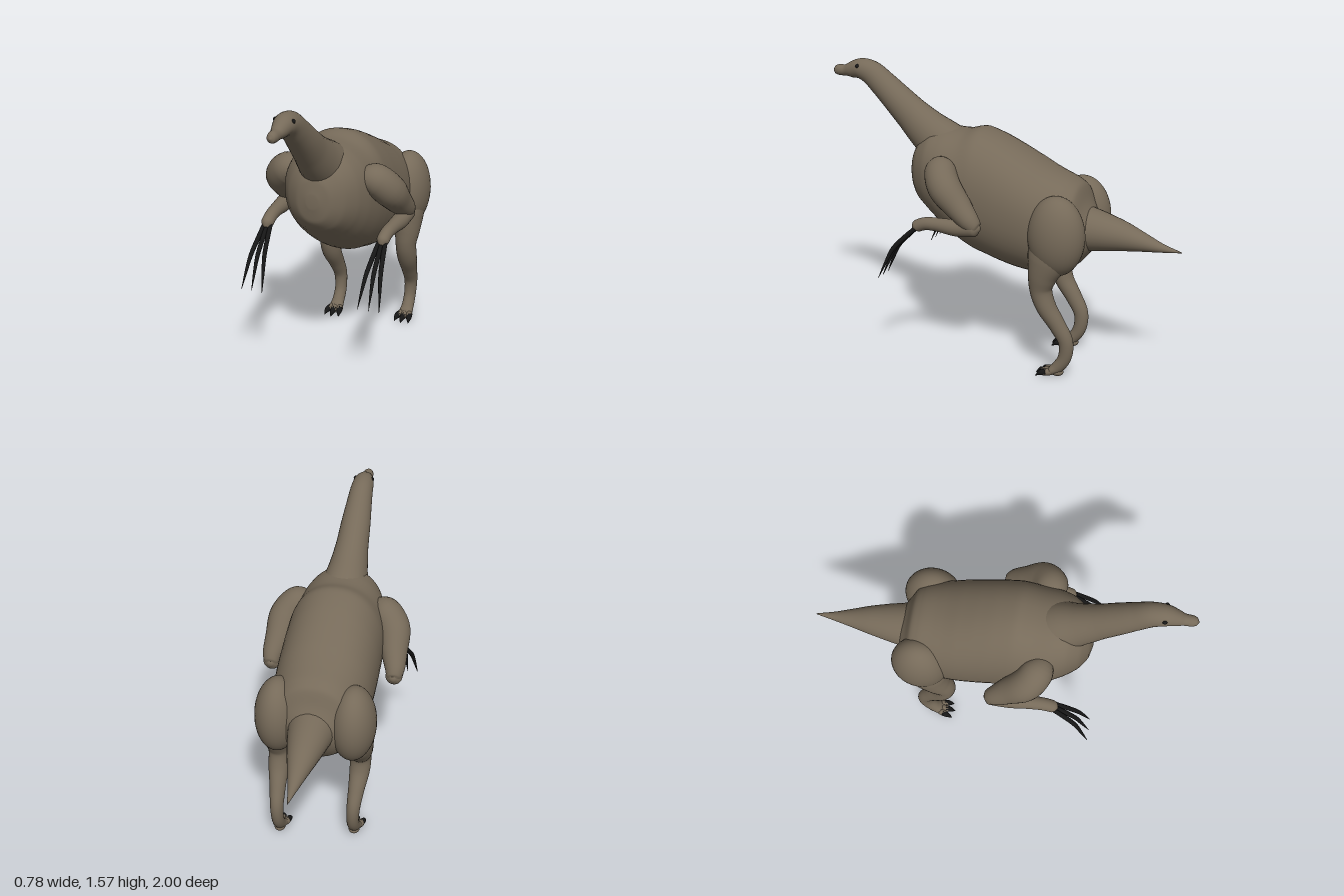
import * as THREE from 'three';

const skin = new THREE.MeshStandardMaterial({ color: 0x766a59 });
skin.name = 'brown skin';
const horn = new THREE.MeshStandardMaterial({ color: 0x161616 });
horn.name = 'black claw';

// Smooth closed loft through sections [x, y, z, sideRadius, otherRadius].
// With "upright", every ring stays in the x-y plane.
function loft(name, sections, material = skin, { upright = false, sides = 28, steps = 6, power = 1 } = {}) {
  const path = new THREE.CatmullRomCurve3(sections.map(s => new THREE.Vector3(s[0], s[1], s[2])));
  const radii = new THREE.CatmullRomCurve3(sections.map(s => new THREE.Vector3(s[3], s[4] ?? s[3], 0)));
  const rings = (sections.length - 1) * steps;
  const pos = [], index = [];
  const shape = v => Math.sign(v) * Math.abs(v) ** power;
  for (let i = 0; i <= rings; i++) {
    const t = i / rings;
    const p = path.getPoint(t), r = radii.getPoint(t);
    const T = upright ? new THREE.Vector3(0, 0, -1) : path.getTangent(t);
    const S = new THREE.Vector3(1, 0, 0).addScaledVector(T, -T.x).normalize();
    const N = T.clone().cross(S);
    for (let j = 0; j < sides; j++) {
      const a = j / sides * Math.PI * 2;
      const q = p.clone()
        .addScaledVector(S, shape(Math.cos(a)) * Math.max(r.x, 0.001))
        .addScaledVector(N, shape(Math.sin(a)) * Math.max(r.y, 0.001));
      pos.push(q.x, q.y, q.z);
      if (i < rings) {
        const k = (j + 1) % sides, b = i * sides, c = b + sides;
        index.push(b + j, b + k, c + k, b + j, c + k, c + j);
      }
    }
  }
  // end caps
  const first = pos.length / 3, lastRing = rings * sides;
  pos.push(...path.getPoint(0).toArray(), ...path.getPoint(1).toArray());
  for (let j = 0; j < sides; j++) {
    const k = (j + 1) % sides;
    index.push(first, k, j, first + 1, lastRing + j, lastRing + k);
  }
  const g = new THREE.BufferGeometry();
  g.setAttribute('position', new THREE.Float32BufferAttribute(pos, 3));
  g.setIndex(index);
  g.computeVertexNormals();
  const mesh = new THREE.Mesh(g, material);
  mesh.name = name;
  return mesh;
}

function ball(name, material, [x, y, z], [rx, ry, rz]) {
  const mesh = new THREE.Mesh(new THREE.SphereGeometry(1, 32, 24), material);
  mesh.name = name;
  mesh.position.set(x, y, z);
  mesh.scale.set(rx, ry, rz);
  return mesh;
}

function createArm(s) {
  const arm = new THREE.Group();
  arm.name = s > 0 ? 'leftArm' : 'rightArm';
  arm.add(loft('upperArm', [
    [s * 0.17, 1.08, 0.27, 0.05], [s * 0.24, 1.07, 0.25, 0.085], [s * 0.295, 1.01, 0.205, 0.088],
    [s * 0.318, 0.92, 0.115, 0.072], [s * 0.335, 0.855, 0.045, 0.054],
    [s * 0.335, 0.82, 0.008, 0.038], [s * 0.335, 0.81, -0.012, 0.008],
  ]));
  arm.add(loft('forearm', [
    [s * 0.335, 0.825, -0.015, 0.012], [s * 0.335, 0.82, 0.02, 0.045], [s * 0.332, 0.808, 0.12, 0.044],
    [s * 0.328, 0.81, 0.23, 0.036], [s * 0.324, 0.805, 0.3, 0.034],
    [s * 0.322, 0.785, 0.35, 0.033], [s * 0.32, 0.765, 0.372, 0.012],
  ]));
  // three long bent finger claws
  for (const [base, tip] of [[0.303, 0.265], [0.32, 0.325], [0.337, 0.382]]) {
    const mid = (base + tip) / 2;
    arm.add(loft('fingerClaw', [
      [s * base, 0.785, 0.345, 0.011], [s * (base * 0.6 + mid * 0.4), 0.725, 0.41, 0.013],
      [s * mid, 0.65, 0.48, 0.012], [s * (mid + tip) / 2, 0.57, 0.52, 0.008],
      [s * tip, 0.48, 0.56, 0.001],
    ], horn, { sides: 8, steps: 3 }));
  }
  return arm;
}

function createLeg(s) {
  const leg = new THREE.Group();
  leg.name = s > 0 ? 'leftLeg' : 'rightLeg';
  const f = s > 0 ? 0 : 0.065; // the right foot steps forward
  leg.add(ball('thigh', skin, [s * 0.2, 0.79, -0.385], [0.12, 0.215, 0.155]));
  leg.add(loft('shin', [
    [s * 0.205, 0.8, -0.38, 0.09, 0.12], [s * 0.215, 0.66, -0.345, 0.085, 0.11],
    [s * 0.22, 0.57, -0.32 + f * 0.3, 0.07, 0.08], [s * 0.217, 0.49, -0.31 + f * 0.8, 0.057, 0.06],
    [s * 0.215, 0.4, -0.338 + f, 0.055, 0.053], [s * 0.208, 0.3, -0.4 + f, 0.043, 0.045],
    [s * 0.203, 0.21, -0.447 + f, 0.036, 0.04], [s * 0.2, 0.12, -0.442 + f, 0.033, 0.036],
    [s * 0.2, 0.06, -0.405 + f, 0.034, 0.033], [s * 0.2, 0.035, -0.37 + f, 0.038, 0.025],
    [s * 0.2, 0.03, -0.345 + f, 0.02, 0.012],
  ]));
  leg.add(ball('heel', skin, [s * 0.2, 0.03, -0.4 + f], [0.03, 0.022, 0.035]));
  // toes with short dark claws
  for (const d of [-1, 0, 1]) {
    const x = s * 0.2 + d * 0.026, tip = s * 0.2 + d * 0.042, z = f - Math.abs(d) * 0.012;
    leg.add(loft('toe', [
      [s * 0.2 + d * 0.014, 0.034, -0.38 + f, 0.018], [x, 0.03, -0.345 + z, 0.019],
      [x + d * 0.006, 0.026, -0.318 + z, 0.017], [x + d * 0.008, 0.025, -0.308 + z, 0.008],
    ], skin, { sides: 10, steps: 3 }));
    leg.add(loft('toeClaw', [
      [x + d * 0.004, 0.029, -0.335 + z, 0.018], [x + d * 0.01, 0.026, -0.31 + z, 0.016],
      [tip, 0.006, -0.28 + z, 0.001],
    ], horn, { sides: 8, steps: 3 }));
  }
  return leg;
}

export function createModel() {
  const model = new THREE.Group();
  model.name = 'longClawedDinosaur';

  // trunk sections: z, top, bottom, half width
  const trunk = [
    [0.51, 1.04, 0.97, 0.03], [0.495, 1.12, 0.89, 0.09], [0.45, 1.19, 0.83, 0.155],
    [0.38, 1.24, 0.775, 0.205], [0.3, 1.25, 0.71, 0.235], [0.2, 1.25, 0.64, 0.252],
    [0.1, 1.268, 0.59, 0.26], [0, 1.235, 0.56, 0.262], [-0.1, 1.19, 0.535, 0.262],
    [-0.2, 1.14, 0.522, 0.26], [-0.3, 1.09, 0.525, 0.25], [-0.4, 1.05, 0.56, 0.225],
    [-0.45, 1.015, 0.59, 0.2], [-0.485, 0.93, 0.63, 0.16], [-0.525, 0.86, 0.68, 0.1],
  ].map(([z, top, bottom, w]) => [0, (top + bottom) / 2, z, w, (top - bottom) / 2]);
  model.add(loft('trunk', trunk, skin, { upright: true, sides: 48, power: 0.92 }));

  model.add(loft('tail', [
    [0, 0.79, -0.4, 0.14, 0.13], [0, 0.782, -0.5, 0.12, 0.118], [0, 0.775, -0.6, 0.1, 0.098],
    [0, 0.765, -0.7, 0.077, 0.075], [0, 0.748, -0.8, 0.05, 0.048],
    [0, 0.73, -0.9, 0.024, 0.022], [0, 0.72, -1, 0.002, 0.002],
  ], skin, { upright: true }));

  model.add(loft('neckAndHead', [
    [0, 1.06, 0.22, 0.14, 0.14], [0, 1.14, 0.33, 0.13, 0.135], [0, 1.215, 0.435, 0.105, 0.115],
    [0, 1.295, 0.53, 0.088, 0.095], [0, 1.375, 0.62, 0.08, 0.082], [0, 1.445, 0.7, 0.07, 0.073],
    [0, 1.5, 0.77, 0.062, 0.066], [0, 1.517, 0.83, 0.056, 0.057], [0, 1.507, 0.89, 0.042, 0.043],
    [0, 1.5, 0.93, 0.03, 0.03], [0, 1.499, 0.965, 0.028, 0.03], [0, 1.498, 0.988, 0.021, 0.022],
    [0, 1.498, 1, 0.003, 0.003],
  ]));

  for (const s of [1, -1]) {
    model.add(ball(s > 0 ? 'leftEye' : 'rightEye', horn, [s * 0.046, 1.54, 0.832], [0.011, 0.012, 0.012]));
    model.add(createArm(s), createLeg(s));
  }
  return model;
}
